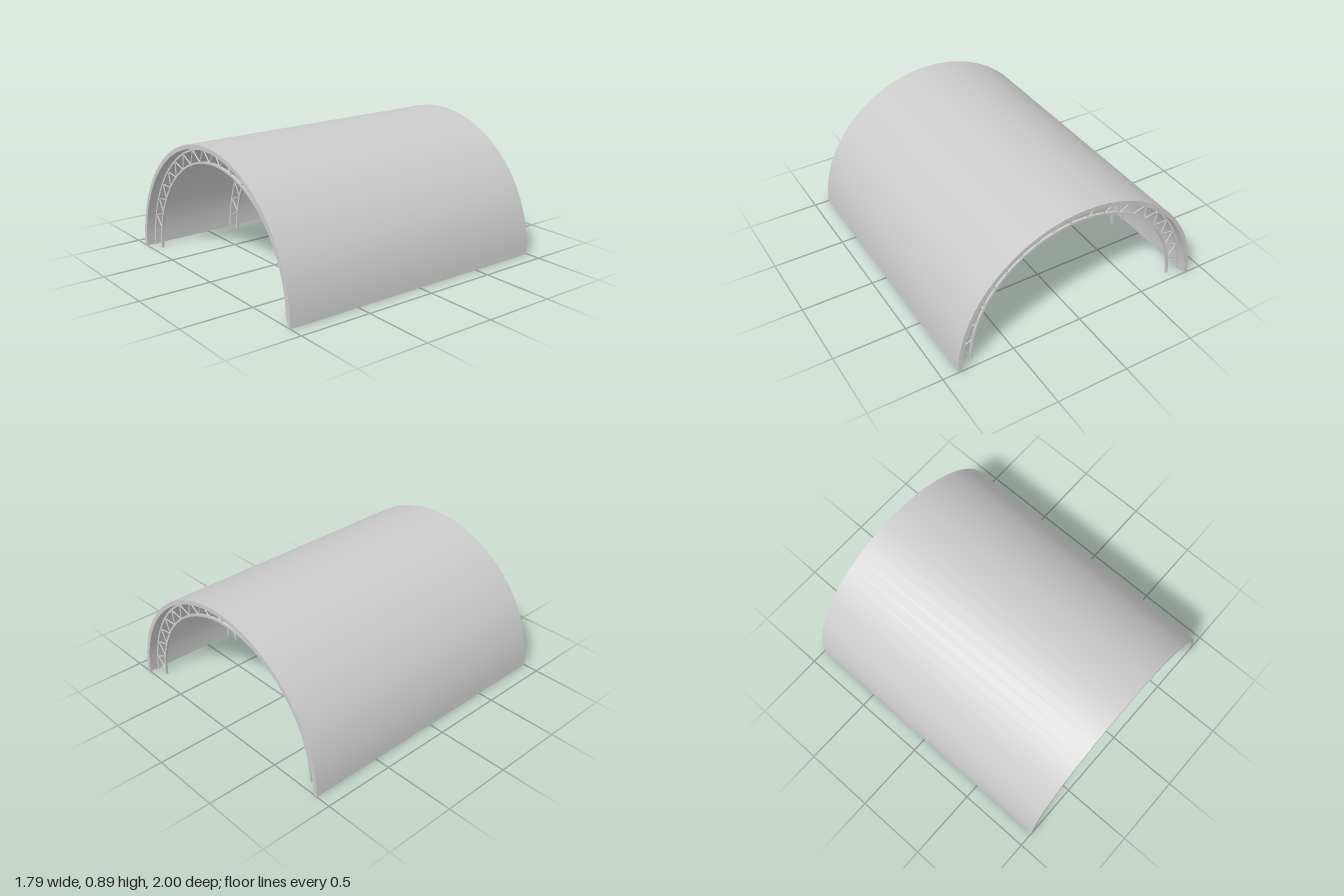
import * as THREE from 'three';
import { toCreasedNormals } from 'three/addons/utils/BufferGeometryUtils.js';

const material = new THREE.MeshStandardMaterial({ color: 0xcccccc });

function onArc(radius, angle) {
  return new THREE.Vector3(radius * Math.cos(angle), radius * Math.sin(angle), 0);
}

// Half ring standing on the ground, centred on z = 0
function halfRing(name, inner, outer, depth, segments) {
  const points = [];
  for (let i = 0; i <= segments; i++) points.push(onArc(outer, (Math.PI * i) / segments));
  for (let i = segments; i >= 0; i--) points.push(onArc(inner, (Math.PI * i) / segments));
  const shape = new THREE.Shape(points.map((p) => new THREE.Vector2(p.x, p.y)));
  const geometry = new THREE.ExtrudeGeometry(shape, { depth, bevelEnabled: false });
  geometry.translate(0, 0, -depth / 2);
  const mesh = new THREE.Mesh(toCreasedNormals(geometry, Math.PI / 6), material);
  mesh.name = name;
  return mesh;
}

// Thin round bar between two points
function bar(name, a, b, radius) {
  const direction = b.clone().sub(a);
  const mesh = new THREE.Mesh(new THREE.CylinderGeometry(radius, radius, direction.length(), 8), material);
  mesh.position.copy(a).add(b).multiplyScalar(0.5);
  mesh.quaternion.setFromUnitVectors(new THREE.Vector3(0, 1, 0), direction.normalize());
  mesh.name = name;
  return mesh;
}

// Arched truss: two chords joined by a zigzag web
function archTruss() {
  const truss = new THREE.Group();
  truss.name = 'archTruss';
  truss.add(halfRing('outerChord', 0.849, 0.863, 0.016, 36));
  truss.add(halfRing('innerChord', 0.759, 0.773, 0.016, 36));
  const start = THREE.MathUtils.degToRad(2.5);
  const step = THREE.MathUtils.degToRad(4.635);
  const node = (i) => onArc(i % 2 ? 0.855 : 0.767, start + i * step);
  for (let i = 0; i < 37; i++) truss.add(bar('webBar', node(i), node(i + 1), 0.0045));
  return truss;
}

export function createModel() {
  const model = new THREE.Group();
  model.name = 'archedShelter';

  // Barrel roof
  model.add(halfRing('roofShell', 0.864, 0.893, 2, 36));

  // Supporting trusses, evenly spaced along the roof
  for (let i = 0; i < 4; i++) {
    const truss = archTruss();
    truss.position.z = -0.93 + i * 0.62;
    model.add(truss);
  }
  return model;
}
